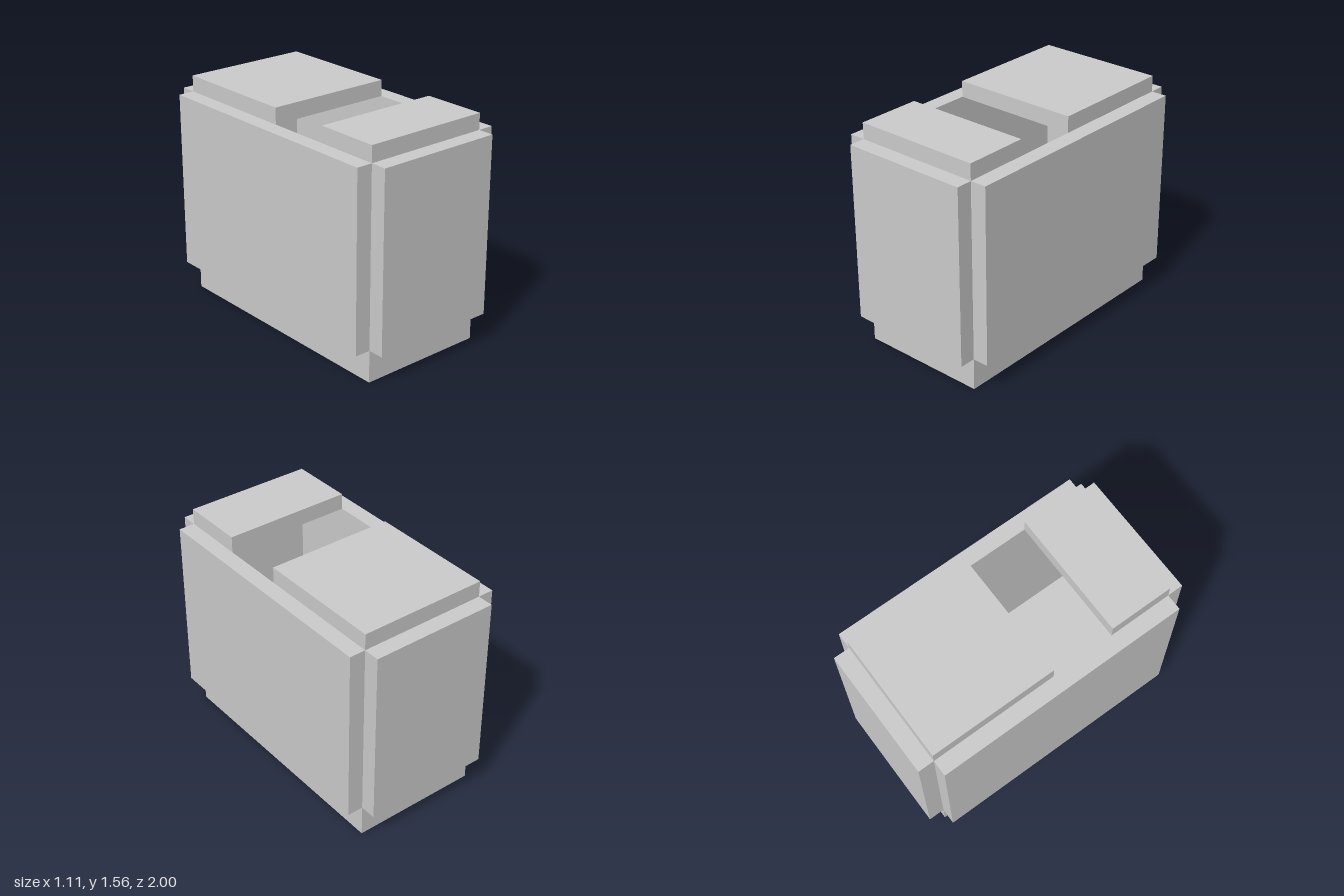
import * as THREE from 'three';

const T = 1 / 9;          // panel thickness, the module of the whole box
const HX = 4 * T;         // inner half width
const HZ = 8 * T;         // inner half depth
const FLOOR = 2 * T;      // top of the base
const RIM = 13 * T;       // top of the wall panels

export function createModel() {
  const group = new THREE.Group();
  const material = new THREE.MeshStandardMaterial({ color: 0xcccccc, flatShading: true });

  // Box given by its lower and upper corners
  const block = (name, [x0, y0, z0], [x1, y1, z1]) => {
    const mesh = new THREE.Mesh(new THREE.BoxGeometry(x1 - x0, y1 - y0, z1 - z0), material);
    mesh.position.set((x0 + x1) / 2, (y0 + y1) / 2, (z0 + z1) / 2);
    mesh.name = name;
    group.add(mesh);
    return mesh;
  };

  // Base slab, also the floor of the hollow
  block('base', [-HX, 0, -HZ], [HX, FLOOR, HZ]);

  // Four wall panels that meet only along their inner edges
  block('leftWall', [HX, FLOOR, -HZ], [HX + T, RIM, HZ]);
  block('rightWall', [-HX - T, FLOOR, -HZ], [-HX, RIM, HZ]);
  block('frontWall', [-HX, FLOOR, HZ], [HX, RIM, HZ + T]);
  block('backWall', [-HX, FLOOR, -HZ - T], [HX, RIM, -HZ]);

  // Top covers, leaving a slot between them
  block('frontCover', [-HX, RIM, HX], [HX, RIM + T, HZ]);
  block('backCover', [-HX, RIM, -HZ], [HX, RIM + T, 0]);

  // Steep divider inside, leaning back under the rear cover
  const height = 0.78;
  const tilt = Math.atan2(0.065, height);
  const divider = block('innerDivider', [-HX, 0, -T / 2], [HX, height, T / 2]);
  divider.rotation.x = -tilt;
  divider.position.set(0, FLOOR + height / 2, 0.0725 - T / 2);

  return group;
}
